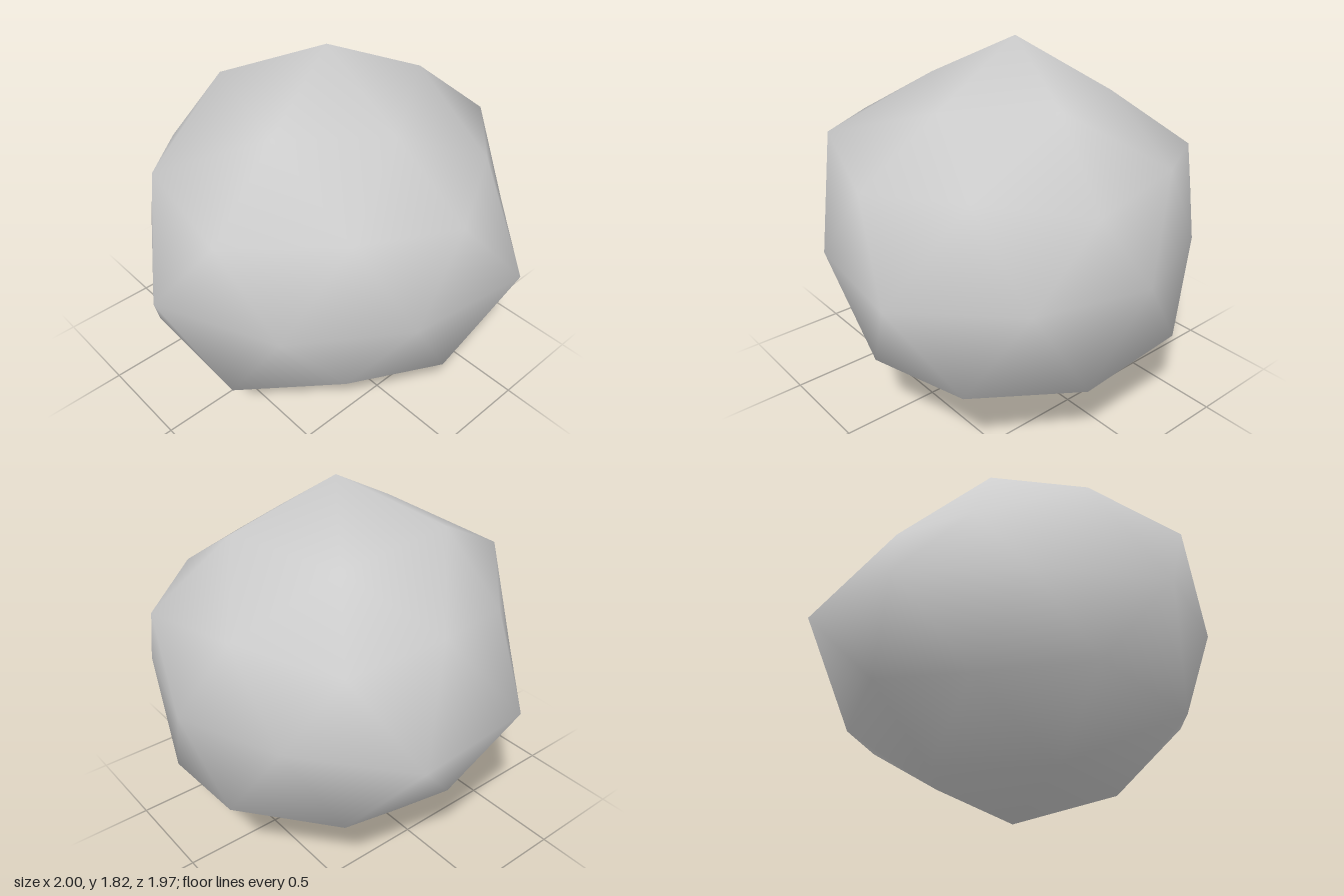
import * as THREE from 'three';

// Rings of an icosphere with one subdivision: height, start angle (degrees), radial factors
const rings = [
  { h: 0.8507, start: 0, r: [0.87, 0.92, 0.98, 0.88, 0.955] },
  { h: [0.4472, 0.5257], start: 0, r: [0.985, 1.05, 1.06, 1.015, 0.885, 0.88, 0.965, 0.95, 1.0, 0.915] },
  { h: 0, start: 18, r: [0.965, 0.985, 1.055, 0.89, 1.0, 1.05, 0.885, 0.915, 0.935, 1.05] },
  { h: [-0.5257, -0.4472], start: 0, r: [1.01, 0.95, 1.06, 1.035, 0.89, 0.92, 0.95, 0.99, 1.01, 1.055] },
  { h: -0.8507, start: 36, r: [0.965, 0.97, 0.935, 0.86, 0.86] },
];
const CENTRE = new THREE.Vector3(0, 0.88, -0.07);
const SQUASH = 0.89;

function rockGeometry() {
  const pos = [];
  const add = (h, angle, r) => {
    const w = Math.sqrt(1 - h * h) * r;
    pos.push(CENTRE.x + w * Math.cos(angle), CENTRE.y + h * r * SQUASH, CENTRE.z + w * Math.sin(angle));
    return pos.length / 3 - 1;
  };

  // Poles and uneven rings
  const top = add(1, 0, 1.056);
  const [P, U, E, L, Q] = rings.map(({ h, start, r }) => {
    const ids = r.map((f, i) => add(Array.isArray(h) ? h[i % 2] : h,
      THREE.MathUtils.degToRad(start + i * 360 / r.length), f));
    return (i) => ids[(i + ids.length) % ids.length];
  });
  const bottom = add(-1, 0, 0.989);

  const index = [];
  const tri = (a, b, c) => index.push(a, b, c);
  // Caps
  for (let i = 0; i < 5; i++) {
    const j = 2 * i;
    tri(top, P(i + 1), P(i));
    tri(P(i), U(j), U(j - 1));
    tri(P(i), U(j + 1), U(j));
    tri(P(i), P(i + 1), U(j + 1));
    tri(Q(i), L(j), L(j + 1));
    tri(Q(i), L(j + 1), L(j + 2));
    tri(Q(i), L(j + 2), Q(i + 1));
    tri(bottom, Q(i), Q(i + 1));
  }
  // Middle bands
  for (let j = 0; j < 10; j++) {
    tri(U(j), E(j), E(j - 1));
    tri(U(j), U(j + 1), E(j));
    tri(E(j), L(j + 1), L(j));
    tri(E(j), E(j + 1), L(j + 1));
  }

  const geo = new THREE.BufferGeometry();
  geo.setAttribute('position', new THREE.Float32BufferAttribute(pos, 3));
  geo.setIndex(index);
  geo.computeVertexNormals();
  return geo;
}

export function createModel() {
  const group = new THREE.Group();
  const rock = new THREE.Mesh(rockGeometry(), new THREE.MeshStandardMaterial({ color: 0xcccccc }));
  rock.name = 'rock';
  group.add(rock);
  return group;
}
